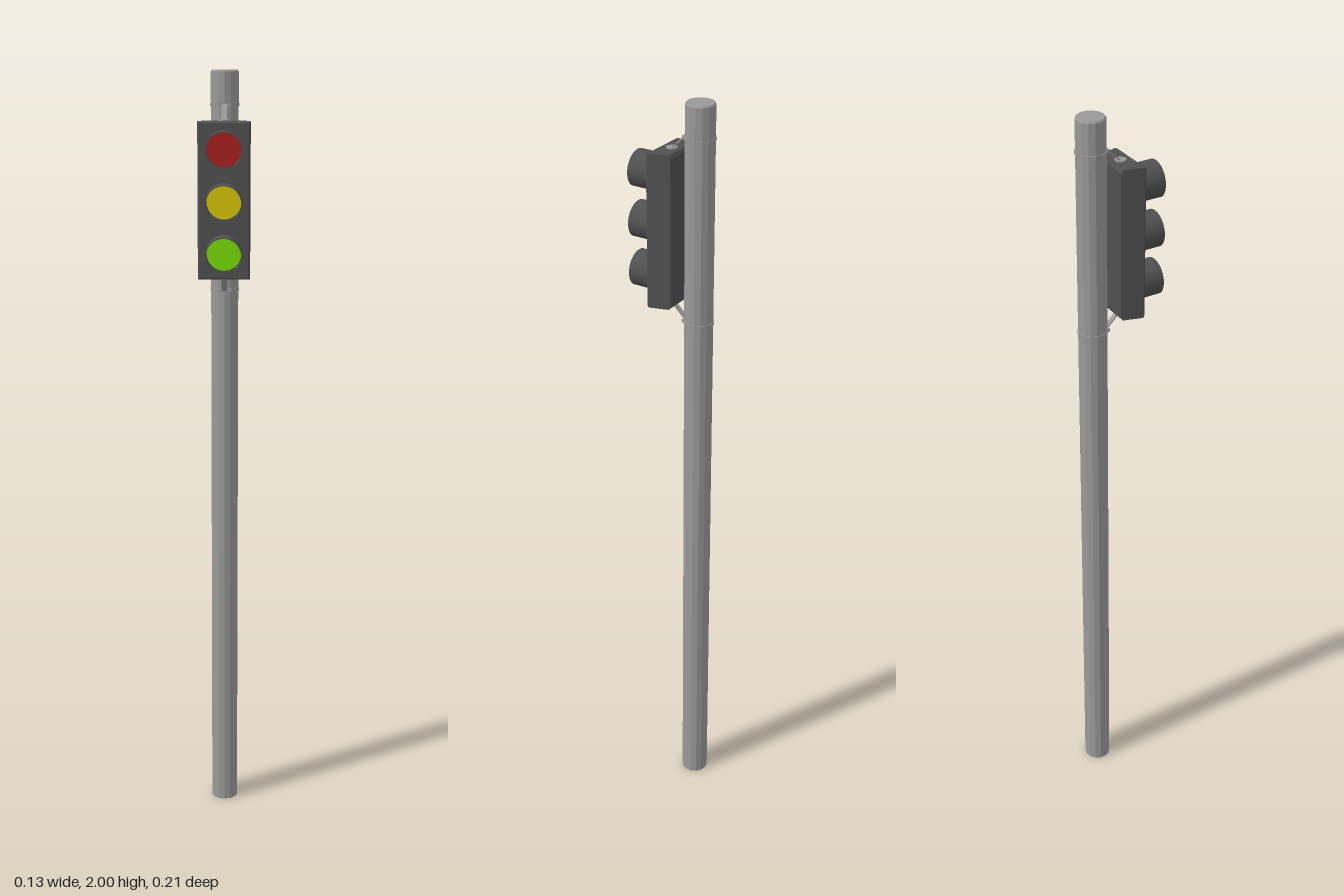
import * as THREE from 'three';

const POLE_Z = -0.068, HEAD_Y = 1.683;

function mat(color, extra = {}) {
  return new THREE.MeshStandardMaterial({ color, ...extra });
}

function add(parent, name, geometry, material, x = 0, y = 0, z = 0) {
  const mesh = new THREE.Mesh(geometry, material);
  mesh.name = name;
  mesh.position.set(x, y, z);
  parent.add(mesh);
  return mesh;
}

// Box whose width and height change with depth: rows of [z, halfWidth, halfHeight]
function housingGeometry(rows) {
  const n = rows.length - 1;
  const g = new THREE.BoxGeometry(2, 2, n, 1, 1, n);
  const p = g.attributes.position;
  for (let i = 0; i < p.count; i++) {
    const [z, w, h] = rows[Math.round(p.getZ(i) + n / 2)];
    p.setXYZ(i, p.getX(i) * w, p.getY(i) * h, z);
  }
  g.computeVertexNormals();
  return g;
}

// Tubular hood with a gap at the bottom
function visorGeometry(outer, inner, gap, depth) {
  const a0 = -Math.PI / 2 + gap, a1 = Math.PI * 1.5 - gap;
  const s = new THREE.Shape();
  s.absarc(0, 0, outer, a0, a1, false);
  s.absarc(0, 0, inner, a1, a0, true);
  s.closePath();
  return new THREE.ExtrudeGeometry(s, { depth, bevelEnabled: false, curveSegments: 28 });
}

export function createModel() {
  const model = new THREE.Group();
  model.name = 'trafficLight';
  const steel = mat(0x999999);
  const facetedSteel = mat(0x999999, { flatShading: true });
  const dark = mat(0x505050);
  const facetedDark = mat(0x505050, { flatShading: true });

  // Pole with a small chamfer at the top
  const r = 0.036;
  const profile = [[0, 0], [r, 0], [r, 1.996], [r - 0.003, 2], [0, 2]];
  add(model, 'pole', new THREE.LatheGeometry(profile.map(([x, y]) => new THREE.Vector2(x, y)), 14),
    facetedSteel, 0, 0, POLE_Z);

  // Signal head, narrower towards the back
  const head = new THREE.Group();
  head.name = 'signalHead';
  model.add(head);
  add(head, 'housing', housingGeometry([
    [-0.018, 0.05, 0.187], [-0.013, 0.0515, 0.195], [0.036, 0.066, 0.195], [0.042, 0.061, 0.191],
  ]), facetedDark, 0, HEAD_Y, 0);

  // Three lamps, each with a lens and a hood
  const visor = visorGeometry(0.046, 0.0435, 0.7, 0.066);
  const lens = new THREE.CylinderGeometry(0.0435, 0.0435, 0.008, 32).rotateX(Math.PI / 2);
  const lamps = [['red', 0xa82020], ['yellow', 0xd8c408], ['green', 0x78dc08]];
  lamps.forEach(([name, color], i) => {
    const y = 1.811 - i * 0.128;
    add(head, name + 'Lens', lens, mat(color), 0, y, 0.043);
    add(head, name + 'Visor', visor, dark, 0, y, 0.04);
  });

  // Upper and lower mounts: clamp band, pad, sloping strap and fixing washer
  for (const [name, side] of [['upper', 1], ['lower', -1]]) {
    const mount = new THREE.Group();
    mount.name = name + 'Mount';
    model.add(mount);
    const clampY = HEAD_Y + side * 0.233, faceY = HEAD_Y + side * 0.196;
    add(mount, 'clampBand', new THREE.CylinderGeometry(0.038, 0.038, 0.008, 14), facetedSteel, 0, clampY, POLE_Z);
    add(mount, 'clampPad', new THREE.BoxGeometry(0.036, 0.008, 0.006), steel, 0, clampY, -0.033);
    const dy = faceY - clampY, dz = 0.038;
    const strap = add(mount, 'strap', new THREE.BoxGeometry(0.014, 0.003, Math.hypot(dy, dz)), steel,
      0, (clampY + faceY) / 2, -0.031 + dz / 2);
    strap.rotation.x = -Math.atan2(dy, dz);
    add(mount, 'washer', new THREE.CylinderGeometry(0.014, 0.014, 0.003, 20), steel, 0, faceY, 0.01);
  }
  return model;
}
